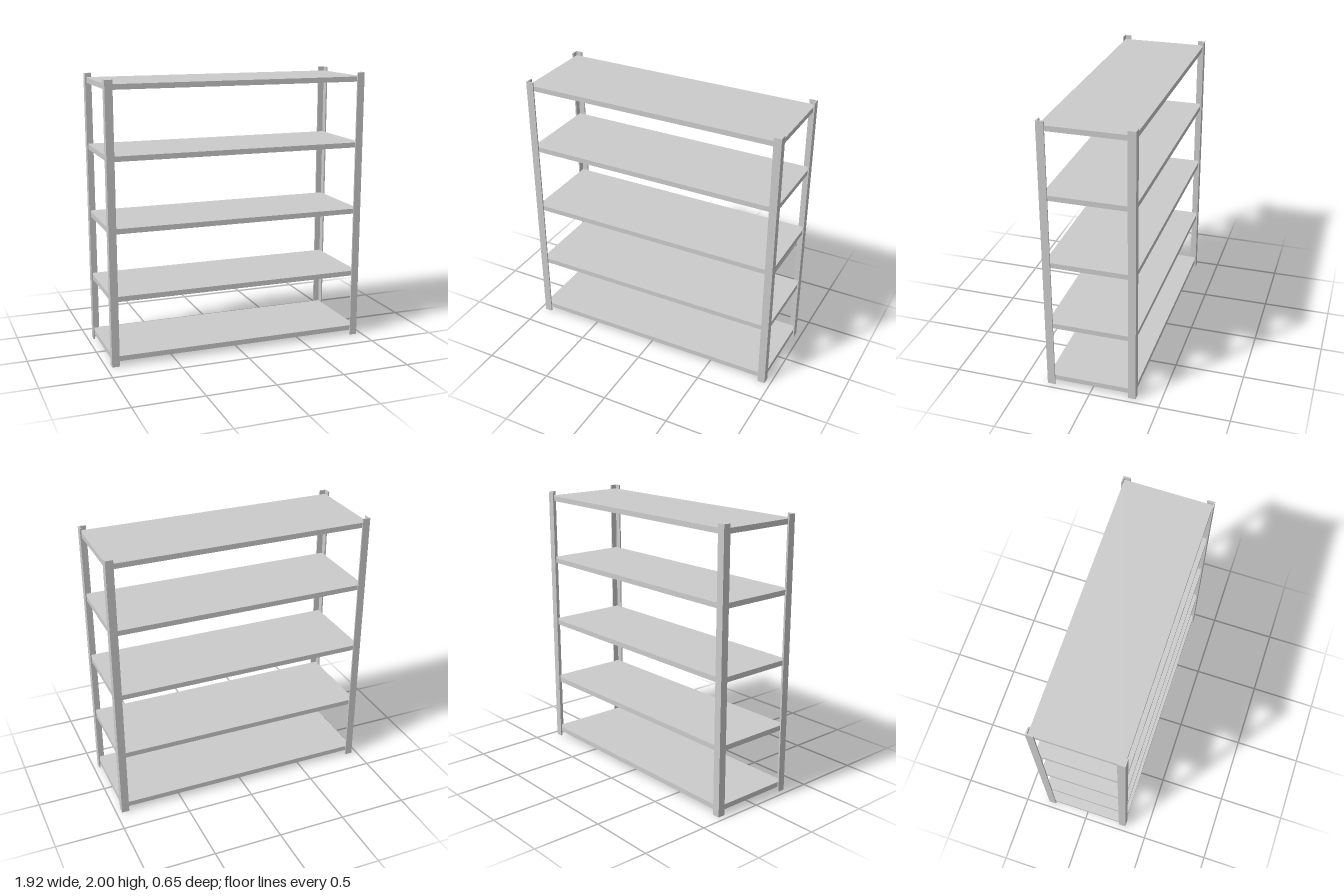
import * as THREE from 'three';

const HALF_W = 0.96, HALF_D = 0.325, HEIGHT = 2;
const FLANGE = 0.055, GAUGE = 0.01;

export function createModel() {
  const group = new THREE.Group();
  group.name = 'shelvingUnit';
  const material = new THREE.MeshStandardMaterial({ color: 0xcccccc, flatShading: true });

  // Corner posts: L-shaped angle section, extruded upwards
  for (const sx of [-1, 1]) {
    for (const sz of [-1, 1]) {
      const corners = [
        [0, 0], [FLANGE, 0], [FLANGE, GAUGE],
        [GAUGE, GAUGE], [GAUGE, FLANGE], [0, FLANGE],
      ].map(([u, v]) => new THREE.Vector2(sx * (HALF_W - u), -sz * (HALF_D - v)));
      const geometry = new THREE.ExtrudeGeometry(new THREE.Shape(corners), {
        depth: HEIGHT, bevelEnabled: false,
      });
      geometry.rotateX(-Math.PI / 2);
      const post = new THREE.Mesh(geometry, material);
      post.name = (sz > 0 ? 'front' : 'back') + (sx > 0 ? 'Left' : 'Right') + 'Post';
      group.add(post);
    }
  }

  // Shelves: flat boards fitted inside the posts
  const thickness = 0.037;
  const shelfGeometry = new THREE.BoxGeometry(
    2 * (HALF_W - GAUGE), thickness, 2 * (HALF_D - GAUGE));
  [0.073, 0.508, 0.99, 1.489, 1.97].forEach((top, i) => {
    const shelf = new THREE.Mesh(shelfGeometry, material);
    shelf.name = `shelf${i + 1}`;
    shelf.position.y = top - thickness / 2;
    group.add(shelf);
  });

  return group;
}
